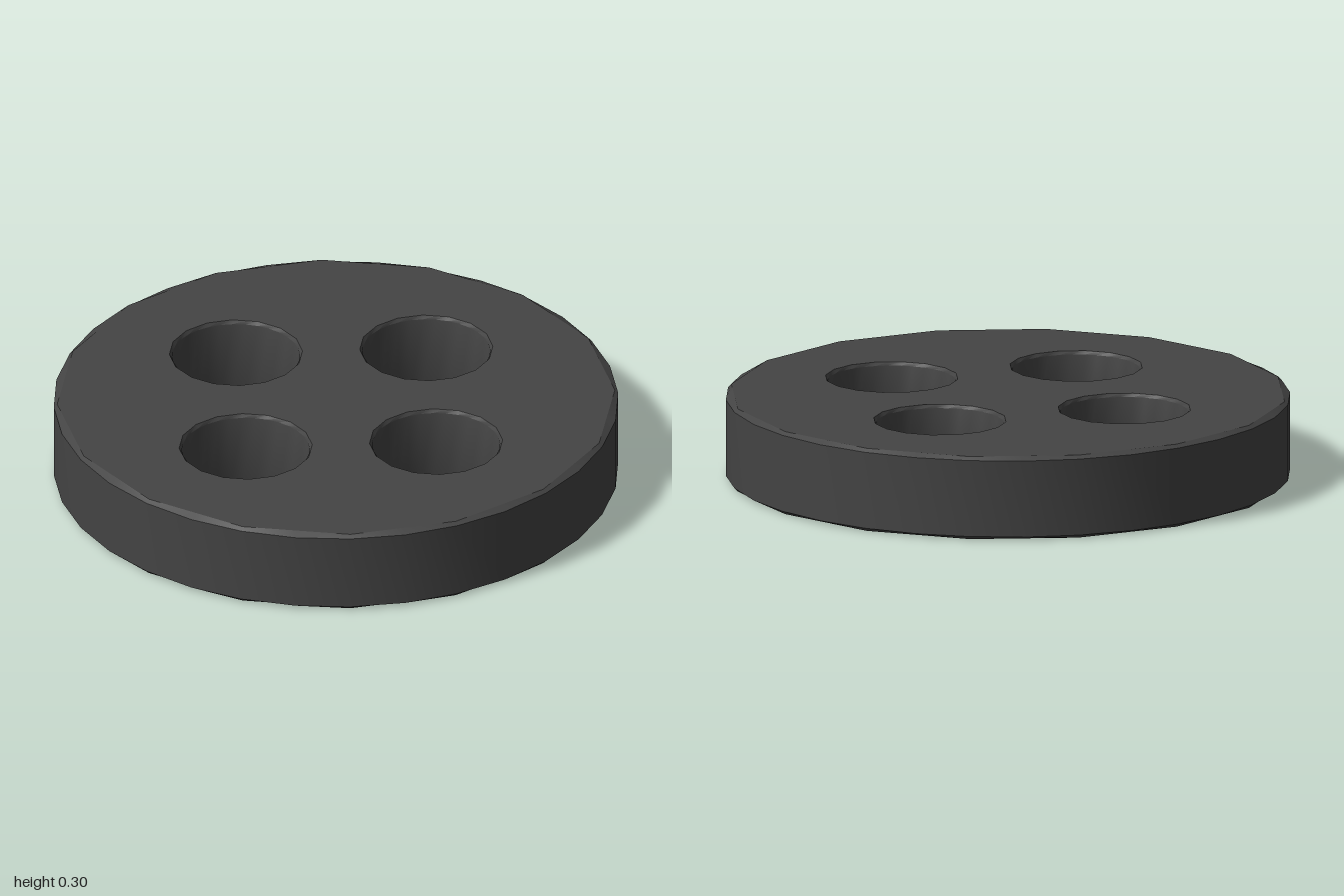
import * as THREE from 'three';
import { toCreasedNormals } from 'three/addons/utils/BufferGeometryUtils.js';

const H = 0.3, BEVEL = 0.012, N = 32;
const material = new THREE.MeshStandardMaterial({ color: 0x444444 });
const HOLES = [0, 1, 2, 3].map(i => {
  const a = i * Math.PI / 2;
  return [0.477 * Math.cos(a), 0.477 * Math.sin(a)];
});

// Ring of N points; a coarse ring has half as many corners, its odd points lie on the chords
function ring(cx, cz, r, coarse) {
  return Array.from({ length: N }, (_, i) => {
    const a = (i / N) * Math.PI * 2;
    const k = coarse && i % 2 ? r * Math.cos(2 * Math.PI / N) : r;
    return new THREE.Vector2(cx + k * Math.sin(a), cz + k * Math.cos(a));
  });
}

// Bevelled wall running from the top cap to the bottom cap
function wall(cx, cz, r, capR, inward) {
  const levels = [[H, capR, true], [H - BEVEL, r, false], [BEVEL, r, false], [0, capR, true]];
  const pos = [], idx = [];
  for (const [y, radius, coarse] of levels)
    for (const p of ring(cx, cz, radius, coarse)) pos.push(p.x, y, p.y);
  for (let l = 0; l < levels.length - 1; l++)
    for (let i = 0; i < N; i++) {
      const j = (i + 1) % N;
      const a = l * N + i, b = l * N + j, c = a + N, d = b + N;
      if (inward) idx.push(a, d, c, a, b, d);
      else idx.push(a, c, d, a, d, b);
    }
  const g = new THREE.BufferGeometry();
  g.setAttribute('position', new THREE.Float32BufferAttribute(pos, 3));
  g.setIndex(idx);
  return toCreasedNormals(g, 0.5);
}

// Flat face with the four holes cut out
function cap() {
  const shape = new THREE.Shape(ring(0, 0, 0.988, true));
  for (const [x, z] of HOLES) shape.holes.push(new THREE.Path(ring(x, z, 0.236, true)));
  return new THREE.ShapeGeometry(shape);
}

export function createModel() {
  const group = new THREE.Group();
  group.name = 'fourHoleButton';
  const add = (name, geometry) => {
    const mesh = new THREE.Mesh(geometry, material);
    mesh.name = name;
    group.add(mesh);
    return mesh;
  };

  add('outerRim', wall(0, 0, 1, 0.988, false));
  HOLES.forEach(([x, z], i) => add('holeWall' + (i + 1), wall(x, z, 0.226, 0.236, true)));
  add('topFace', cap().rotateX(-Math.PI / 2)).position.y = H;
  add('bottomFace', cap().rotateX(Math.PI / 2));
  return group;
}
